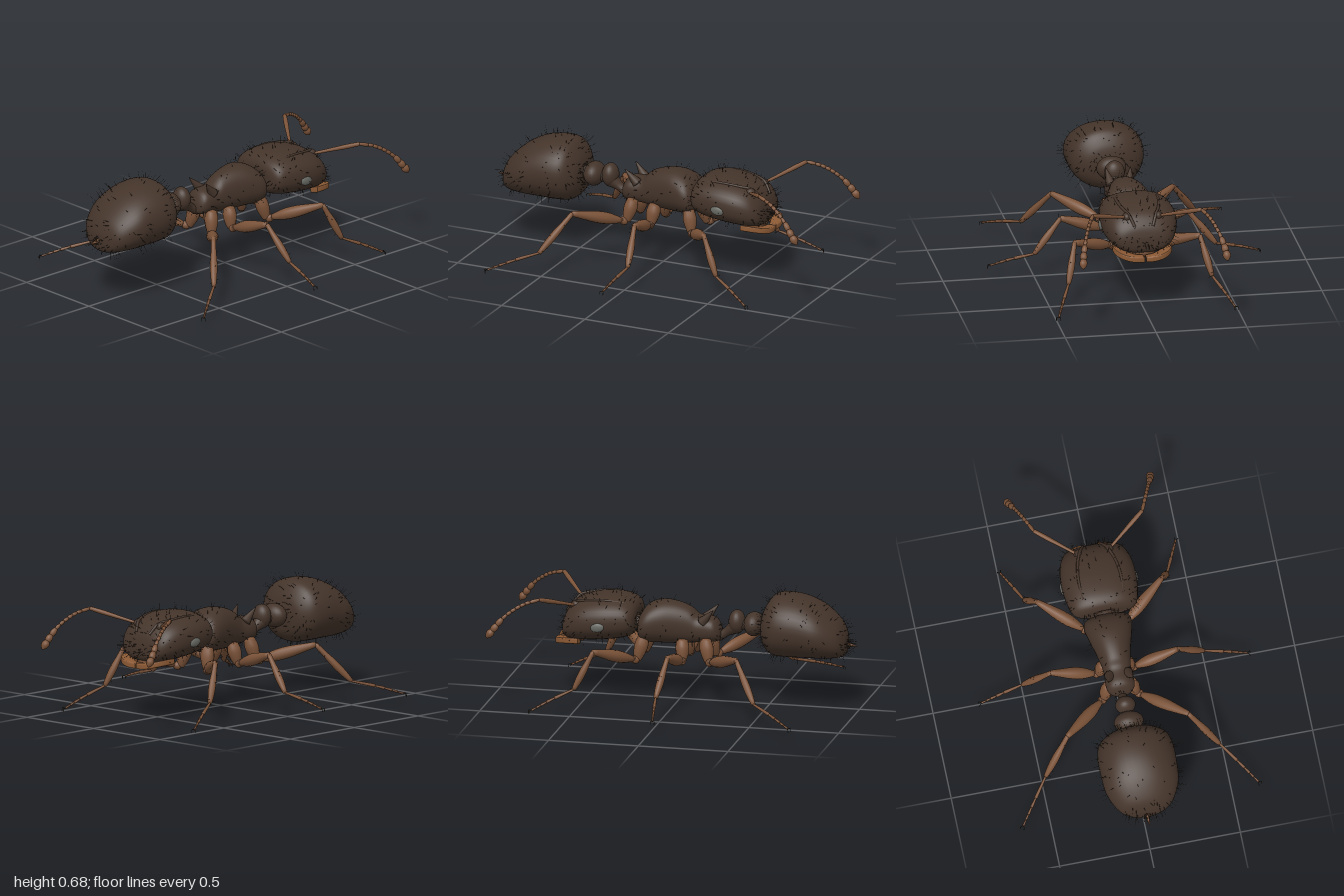
import * as THREE from 'three';
import { mergeGeometries } from 'three/addons/utils/BufferGeometryUtils.js';

const V = (x, y, z) => new THREE.Vector3(x, y, z);
const paint = (color) => new THREE.MeshStandardMaterial({ color, side: THREE.DoubleSide });
let seed = 7;
const rand = () => (seed = (seed * 16807) % 2147483647) / 2147483647;

// Smooth body along x; stations are [x, bottom, top, halfWidth], e sets how boxy the section is
function loft(stations, e = 1, rows = 48, cols = 40) {
  const heights = new THREE.CatmullRomCurve3(stations.map(([x, b, t]) => V(x, b, t)), false, 'catmullrom');
  const widths = new THREE.CatmullRomCurve3(stations.map(([x, , , w]) => V(x, w, 0)), false, 'catmullrom');
  const pos = [], idx = [];
  const pow = (v) => Math.sign(v) * Math.abs(v) ** e;
  for (let i = 0; i <= rows; i++) {
    const h = heights.getPoint(i / rows), w = widths.getPoint(i / rows).y;
    for (let j = 0; j < cols; j++) {
      const a = (j / cols) * Math.PI * 2;
      pos.push(h.x, (h.y + h.z) / 2 + ((h.z - h.y) / 2) * pow(Math.cos(a)), w * pow(Math.sin(a)));
      if (i === rows) continue;
      const k = i * cols + j, n = i * cols + ((j + 1) % cols);
      idx.push(k, n, k + cols, n, n + cols, k + cols);
    }
  }
  const g = new THREE.BufferGeometry();
  g.setAttribute('position', new THREE.Float32BufferAttribute(pos, 3));
  g.setIndex(idx);
  g.computeVertexNormals();
  return g;
}

// Rounded limb segment from a to b, radii evenly spaced along it
function segment(a, b, radii, sides = 12) {
  const len = a.distanceTo(b);
  const spline = new THREE.SplineCurve(radii.map((r, i) => new THREE.Vector2(r, (i / (radii.length - 1)) * len)));
  const pts = [new THREE.Vector2(0, -radii[0] * 0.4), ...spline.getPoints(10),
    new THREE.Vector2(0, len + radii[radii.length - 1] * 0.4)];
  const g = new THREE.LatheGeometry(pts, sides);
  const dir = b.clone().sub(a).normalize();
  g.applyQuaternion(new THREE.Quaternion().setFromUnitVectors(V(0, 1, 0), dir));
  return g.translate(a.x, a.y, a.z);
}

// Fine bristles standing on a surface
function bristles(surface, count, length) {
  const p = surface.attributes.position, n = surface.attributes.normal, list = [];
  for (let i = 0; i < count; i++) {
    const k = Math.floor(rand() * p.count);
    const dir = V().fromBufferAttribute(n, k);
    dir.add(V(rand() - 0.5, rand() - 0.5, rand() - 0.5).multiplyScalar(0.6)).normalize();
    const l = length * (0.5 + rand() * 0.6);
    const g = new THREE.ConeGeometry(0.0014, l, 3, 1, true).translate(0, l / 2, 0);
    g.applyQuaternion(new THREE.Quaternion().setFromUnitVectors(V(0, 1, 0), dir));
    list.push(g.translate(p.getX(k), p.getY(k), p.getZ(k)));
  }
  return mergeGeometries(list);
}

export function createModel() {
  const model = new THREE.Group();
  model.name = 'ant';
  const dark = paint(0x44342a), brown = paint(0x7a5238), amber = paint(0x8c5a35);
  const hair = paint(0x33291f), grey = paint(0x666862);
  const add = (name, geometry, material, parent = model) => {
    const m = new THREE.Mesh(geometry, material);
    m.name = name;
    parent.add(m);
    return m;
  };
  const ball = (name, [x, y, z], [rx, ry, rz], material, parent) =>
    add(name, new THREE.SphereGeometry(1, 24, 16).scale(rx, ry, rz).translate(x, y, z), material, parent);

  // Three main body masses with their bristles
  const bodies = {
    abdomen: [loft([[-0.932, 0.37, 0.375, 0.002], [-0.925, 0.315, 0.425, 0.075], [-0.89, 0.297, 0.495, 0.145],
      [-0.8, 0.29, 0.575, 0.198], [-0.7, 0.288, 0.622, 0.21], [-0.6, 0.287, 0.636, 0.21],
      [-0.53, 0.293, 0.622, 0.19], [-0.483, 0.335, 0.56, 0.135], [-0.465, 0.4, 0.5, 0.07], [-0.46, 0.45, 0.455, 0.002]], 0.95), 300, 0.055],
    thorax: [loft([[-0.235, 0.37, 0.375, 0.002], [-0.225, 0.35, 0.43, 0.05], [-0.19, 0.34, 0.475, 0.078],
      [-0.11, 0.333, 0.485, 0.075], [-0.06, 0.325, 0.525, 0.08], [0.02, 0.32, 0.552, 0.098], [0.1, 0.32, 0.556, 0.12],
      [0.17, 0.322, 0.53, 0.132], [0.21, 0.34, 0.48, 0.11], [0.23, 0.39, 0.42, 0.02]], 0.9), 110, 0.04],
    head: [loft([[0.24, 0.45, 0.455, 0.002], [0.226, 0.405, 0.5, 0.11], [0.245, 0.37, 0.545, 0.17],
      [0.3, 0.345, 0.572, 0.193], [0.4, 0.33, 0.577, 0.206], [0.5, 0.322, 0.562, 0.2], [0.57, 0.32, 0.532, 0.178],
      [0.615, 0.33, 0.48, 0.145], [0.632, 0.35, 0.43, 0.1], [0.637, 0.385, 0.39, 0.002]], 0.85), 260, 0.045],
  };
  for (const [name, [geometry, count, length]] of Object.entries(bodies)) {
    add(name, geometry, dark);
    add(name + 'Bristles', bristles(geometry, count, length), hair);
  }

  // Waist nodes, stalk, neck and sting
  ball('rearWaistNode', [-0.413, 0.45, 0], [0.056, 0.066, 0.082], dark);
  ball('frontWaistNode', [-0.318, 0.458, 0], [0.046, 0.066, 0.056], dark);
  add('waistJoint', segment(V(-0.48, 0.45, 0), V(-0.3, 0.44, 0), [0.05, 0.035, 0.03]), dark);
  add('waistStalk', segment(V(-0.31, 0.43, 0), V(-0.215, 0.365, 0), [0.045, 0.025, 0.025]), dark);
  ball('neck', [0.225, 0.42, 0], [0.05, 0.05, 0.055], dark);
  add('sting', segment(V(-0.91, 0.37, 0), V(-0.99, 0.36, 0), [0.014, 0.008, 0.002], 8), brown);

  // Leg joints: coxa top, coxa end, knee, ankle, foot
  const legs = {
    frontLeg: [[0.185, 0.36, 0.075], [0.215, 0.235, 0.1], [0.405, 0.332, 0.345], [0.5, 0.13, 0.395], [0.715, 0.022, 0.485]],
    middleLeg: [[-0.025, 0.35, 0.06], [-0.035, 0.24, 0.09], [-0.01, 0.325, 0.35], [0.02, 0.14, 0.5], [-0.017, 0.075, 0.735]],
    rearLeg: [[-0.155, 0.36, 0.06], [-0.18, 0.24, 0.09], [-0.39, 0.332, 0.335], [-0.52, 0.132, 0.48], [-0.75, 0.055, 0.65]],
  };

  for (const s of [1, -1]) {
    const side = s > 0 ? 'left' : 'right';
    const group = (name) => {
      const g = new THREE.Group();
      g.name = side + name;
      model.add(g);
      return g;
    };

    for (const [name, joints] of Object.entries(legs)) {
      const leg = group(name[0].toUpperCase() + name.slice(1));
      const [top, hip, knee, ankle, foot] = joints.map(([x, y, z]) => V(x, y, z * s));
      add('coxa', segment(top, hip, [0.03, 0.038, 0.033, 0.02]), brown, leg);
      const start = hip.clone().lerp(knee, 0.1);
      add('trochanter', segment(hip, start, [0.02, 0.024, 0.02]), brown, leg);
      add('femur', segment(start, knee, [0.015, 0.031, 0.032, 0.024, 0.015]), brown, leg);
      add('tibia', segment(knee, ankle, [0.013, 0.015, 0.02, 0.019, 0.012]), brown, leg);
      // Foot of five shrinking segments that sags a little, with paired claws
      const mid = ankle.clone().lerp(foot, 0.5).add(V(0, 0.01, 0));
      const path = new THREE.QuadraticBezierCurve3(ankle, mid, foot);
      const cuts = [0, 0.45, 0.64, 0.78, 0.88, 1];
      for (let i = 0; i < 5; i++) {
        const r = 0.01 - i * 0.0009;
        add('tarsus', segment(path.getPoint(cuts[i]), path.getPoint(cuts[i + 1]), [r * 0.65, r * 0.85, r], 8), brown, leg);
      }
      const out = foot.clone().sub(ankle).setY(0).normalize();
      for (const c of [1, -1]) {
        const bend = foot.clone().addScaledVector(out, 0.012).add(V(-out.z * c * 0.01, 0.002, out.x * c * 0.01));
        const tip = bend.clone().addScaledVector(out, 0.004).add(V(0, -0.018, 0));
        const claw = new THREE.CatmullRomCurve3([foot, bend, tip]);
        add('claw', new THREE.TubeGeometry(claw, 6, 0.002, 5), hair, leg);
      }
      const tibiaHairs = bristles(segment(knee, ankle, [0.013, 0.02, 0.012]), 14, 0.02);
      add('legBristles', tibiaHairs, hair, leg);
    }

    // Elbowed antenna: long scape, then beads ending in a club
    const antenna = group('Antenna');
    const elbow = V(0.715, 0.595, 0.3 * s);
    ball('socket', [0.56, 0.52, 0.085 * s], [0.028, 0.024, 0.024], dark, antenna);
    add('scape', segment(V(0.56, 0.518, 0.085 * s), elbow, [0.008, 0.009, 0.011, 0.013, 0.011]), brown, antenna);
    const whip = new THREE.CatmullRomCurve3([elbow, V(0.8, 0.57, 0.335 * s), V(0.89, 0.51, 0.37 * s),
      V(0.945, 0.445, 0.39 * s), V(0.985, 0.392, 0.398 * s)]);
    const beads = [0, 0.14, 0.22, 0.3, 0.38, 0.46, 0.54, 0.63, 0.75, 0.86, 1];
    for (let i = 0; i < 10; i++) {
      const r = 0.01 + (i > 6 ? 0.003 * (i - 5) : 0);
      const radii = i === 9 ? [r * 0.7, r, r * 0.85, r * 0.3] : [r * 0.7, r, r * 1.05, r * 0.85];
      add('flagellum', segment(whip.getPointAt(beads[i]), whip.getPointAt(beads[i + 1]), radii), brown, antenna);
    }

    // Compound eye and the ridge running back from the antenna socket
    const eye = ball(side + 'Eye', [0, 0, 0], [0.038, 0.026, 0.014], grey);
    eye.position.set(0.415, 0.43, 0.201 * s);
    eye.rotation.z = -0.15;
    const ridge = new THREE.CatmullRomCurve3([V(0.29, 0.55, 0.11 * s), V(0.4, 0.56, 0.115 * s),
      V(0.5, 0.55, 0.1 * s), V(0.57, 0.535, 0.075 * s), V(0.615, 0.48, 0.05 * s)]);
    add(side + 'HeadRidge', new THREE.TubeGeometry(ridge, 24, 0.008, 8), dark);

    // Curved jaw, dipping towards the middle
    const jaw = new THREE.Shape();
    jaw.moveTo(0.54, 0.155);
    jaw.bezierCurveTo(0.64, 0.165, 0.69, 0.1, 0.668, 0.01);
    jaw.lineTo(0.635, 0.012);
    jaw.bezierCurveTo(0.625, 0.07, 0.6, 0.1, 0.54, 0.11);
    const jawGeometry = new THREE.ExtrudeGeometry(jaw, { depth: 0.016, curveSegments: 16,
      bevelThickness: 0.008, bevelSize: 0.006, bevelSegments: 3 });
    jawGeometry.rotateX(Math.PI / 2);
    const p = jawGeometry.attributes.position;
    for (let i = 0; i < p.count; i++) p.setXYZ(i, p.getX(i), p.getY(i) + 0.316 + 1.1 * p.getZ(i) ** 2, p.getZ(i));
    jawGeometry.computeVertexNormals();
    add(side + 'Jaw', jawGeometry, amber).scale.z = s;

    // Backward spine on the rear of the thorax
    add(side + 'Spine', segment(V(-0.135, 0.455, 0.05 * s), V(-0.2, 0.53, 0.068 * s), [0.03, 0.016, 0.002], 10), dark);
  }

  // Mouthparts under the head
  ball('mouth', [0.57, 0.325, 0], [0.05, 0.03, 0.07], brown);
  return model;
}
